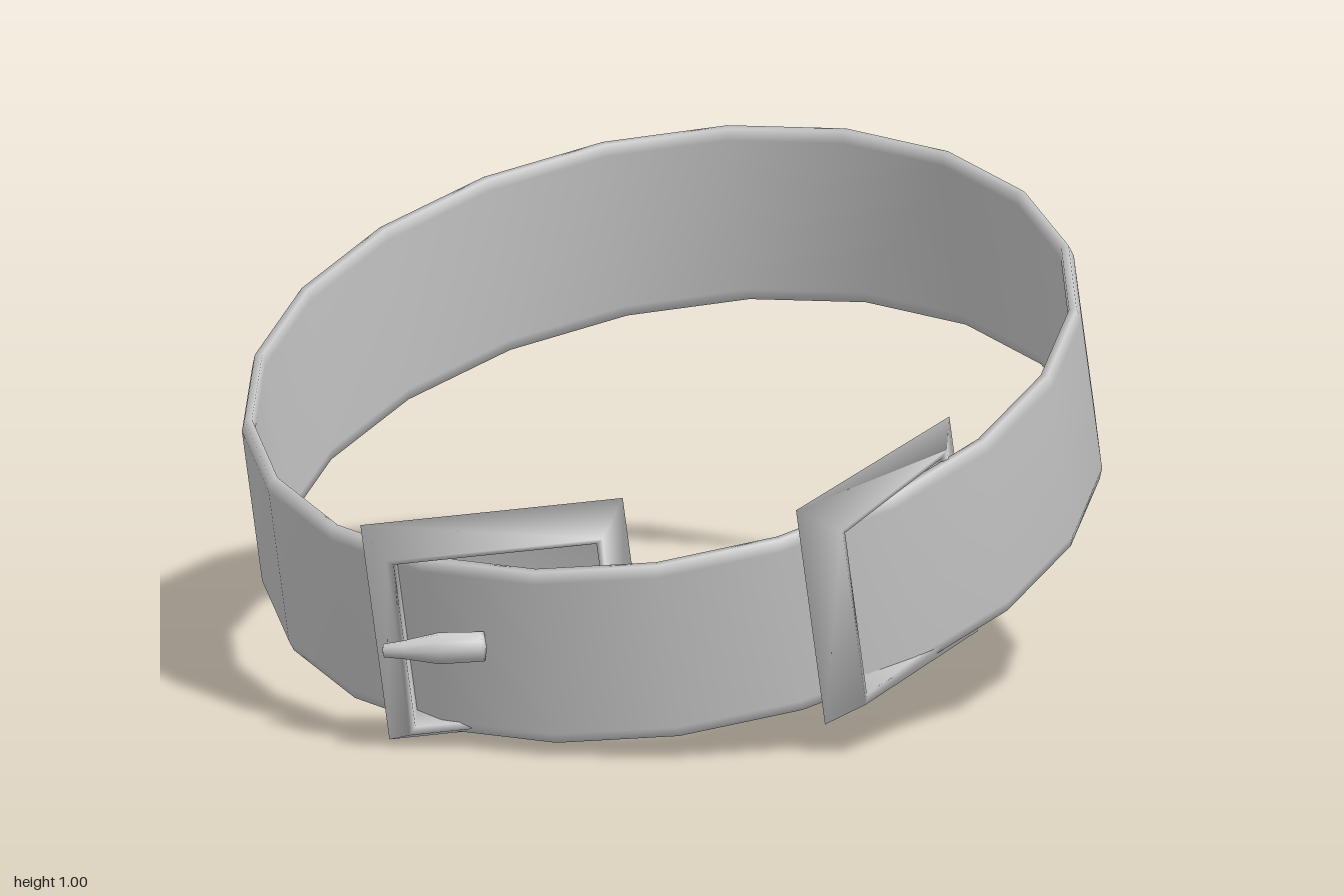
import * as THREE from 'three';

const TILT = 0.314;      // the whole belt leans down towards the front
const SIDES = 21;

const material = () => new THREE.MeshStandardMaterial({ color: 0xcccccc });

function mesh(name, geometry) {
  const m = new THREE.Mesh(geometry, material());
  m.name = name;
  return m;
}

// Joins equal-sized closed rings of points into quads
function stitch(points, index, rings, size, closed) {
  const bands = closed ? rings : rings - 1;
  for (let r = 0; r < bands; r++) {
    for (let k = 0; k < size; k++) {
      const a = r * size + k, b = r * size + (k + 1) % size;
      const c = ((r + 1) % rings) * size + k, d = ((r + 1) % rings) * size + (k + 1) % size;
      index.push(a, b, c, b, d, c);
    }
  }
  const g = new THREE.BufferGeometry();
  g.setAttribute('position', new THREE.Float32BufferAttribute(points, 3));
  g.setIndex(index);
  g.computeVertexNormals();
  return g;
}

// Thin band swept round an oval; section is [inset, height]
function strapGeometry() {
  const section = [[0.008, 0.285], [0, 0.31], [0, 0.665], [0.008, 0.69], [0.024, 0.69], [0.028, 0.665], [0.028, 0.31], [0.024, 0.285]];
  const points = [];
  for (let i = 0; i < SIDES; i++) {
    const t = 0.05 + (i / SIDES) * Math.PI * 2;
    for (const [inset, y] of section) {
      points.push((0.867 - inset) * Math.sin(t), y, -0.185 - (0.957 - inset) * Math.cos(t));
    }
  }
  return stitch(points, [], SIDES, section.length, true);
}

// Rectangular frame with a raised bevelled rim and a closed flat back
function frameGeometry(width, height, rise, riseRight) {
  const profile = [[0, 0, 0], [0.048, 1, 0], [0.062, 0.9, 0], [0.066, 0, 0.004]];   // inset, rise share, base
  const points = [];
  for (const [inset, share, base] of profile) {
    const w = width / 2 - inset, h = height / 2 - inset;
    for (const [sx, sy] of [[-1, -1], [1, -1], [1, 1], [-1, 1]]) {
      points.push(sx * w, sy * h, base + share * (sx < 0 ? rise : riseRight));
    }
  }
  const last = (profile.length - 1) * 4;
  const caps = [0, 2, 1, 0, 3, 2, last, last + 1, last + 2, last, last + 2, last + 3];
  return stitch(points, caps, profile.length, 4, false);
}

function addFrame(parent, name, [x0, z0], [x1, z1], riseRight) {
  const dx = x1 - x0, dz = z1 - z0;
  const frame = mesh(name, frameGeometry(Math.hypot(dx, dz), 0.51, 0.08, riseRight));
  frame.position.set((x0 + x1) / 2, 0.505, (z0 + z1) / 2);
  frame.rotation.y = Math.atan2(-dz, dx);
  parent.add(frame);
}

export function createModel() {
  const model = new THREE.Group();
  model.name = 'belt';
  const belt = new THREE.Group();
  belt.name = 'tiltedBelt';
  belt.rotation.x = TILT;
  model.add(belt);

  belt.add(mesh('strap', strapGeometry()));

  // Buckle at the front and keeper loop on the left
  addFrame(belt, 'buckle', [-0.3, 0.745], [0.21, 0.545], 0.08);
  addFrame(belt, 'keeperLoop', [0.595, 0.535], [0.77, 0.105], 0.03);

  // Tapered prong lying over the strap, tip resting on the buckle rim
  const profile = [[0, 0], [0.014, 0.004], [0.02, 0.05], [0.033, 0.12], [0.031, 0.215], [0, 0.22]]
    .map(([r, y]) => new THREE.Vector2(r, y));
  const prong = mesh('prong', new THREE.LatheGeometry(profile, 10));
  prong.position.set(-0.248, 0.515, 0.833);
  prong.quaternion.setFromUnitVectors(new THREE.Vector3(0, 1, 0), new THREE.Vector3(0.22, 0, -0.055).normalize());
  belt.add(prong);

  return model;
}
